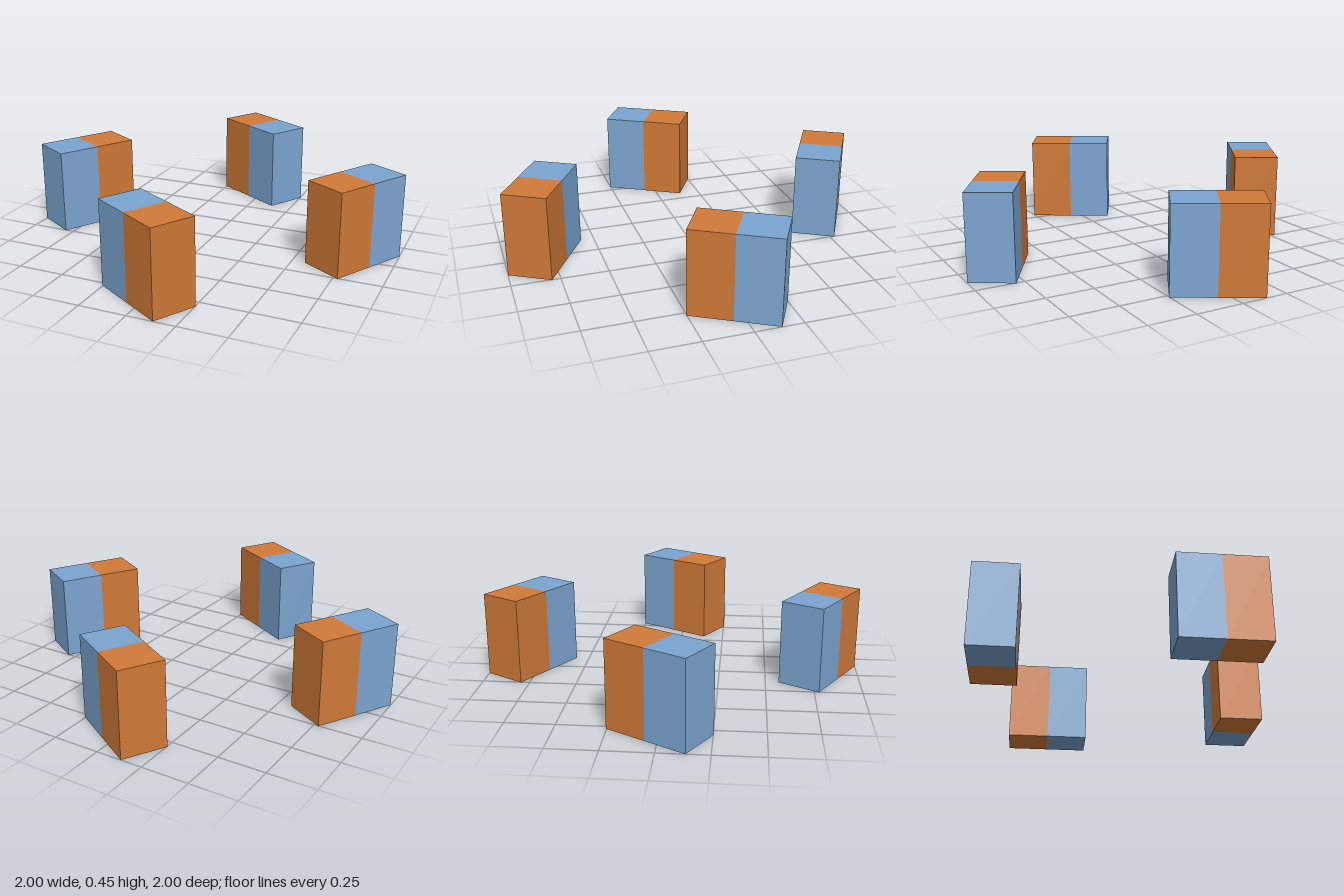
import * as THREE from 'three';

const LENGTH = 0.45, HEIGHT = 0.45, WIDTH = 0.236, RADIUS = 0.785;

export function createModel() {
  const model = new THREE.Group();
  model.name = 'blockRing';

  const blue = new THREE.MeshStandardMaterial({ color: 0x7ba5d0 });
  const orange = new THREE.MeshStandardMaterial({ color: 0xd07a38 });
  const halfGeometry = new THREE.BoxGeometry(LENGTH / 2, HEIGHT, WIDTH);

  // One half of a two-tone block, on the given side of its middle
  const addHalf = (block, name, material, side) => {
    const half = new THREE.Mesh(halfGeometry, material);
    half.name = name;
    half.position.x = side * LENGTH / 4;
    block.add(half);
  };

  // Four blocks around the centre, each turning the opposite way to its quarter step
  ['leftBlock', 'backBlock', 'rightBlock', 'frontBlock'].forEach((name, i) => {
    const around = i * Math.PI / 2;
    const block = new THREE.Group();
    block.name = name;
    block.position.set(RADIUS * Math.cos(around), HEIGHT / 2, -RADIUS * Math.sin(around));
    block.rotation.y = Math.PI / 3 - around;
    addHalf(block, 'blueHalf', blue, 1);
    addHalf(block, 'orangeHalf', orange, -1);
    model.add(block);
  });

  return model;
}
